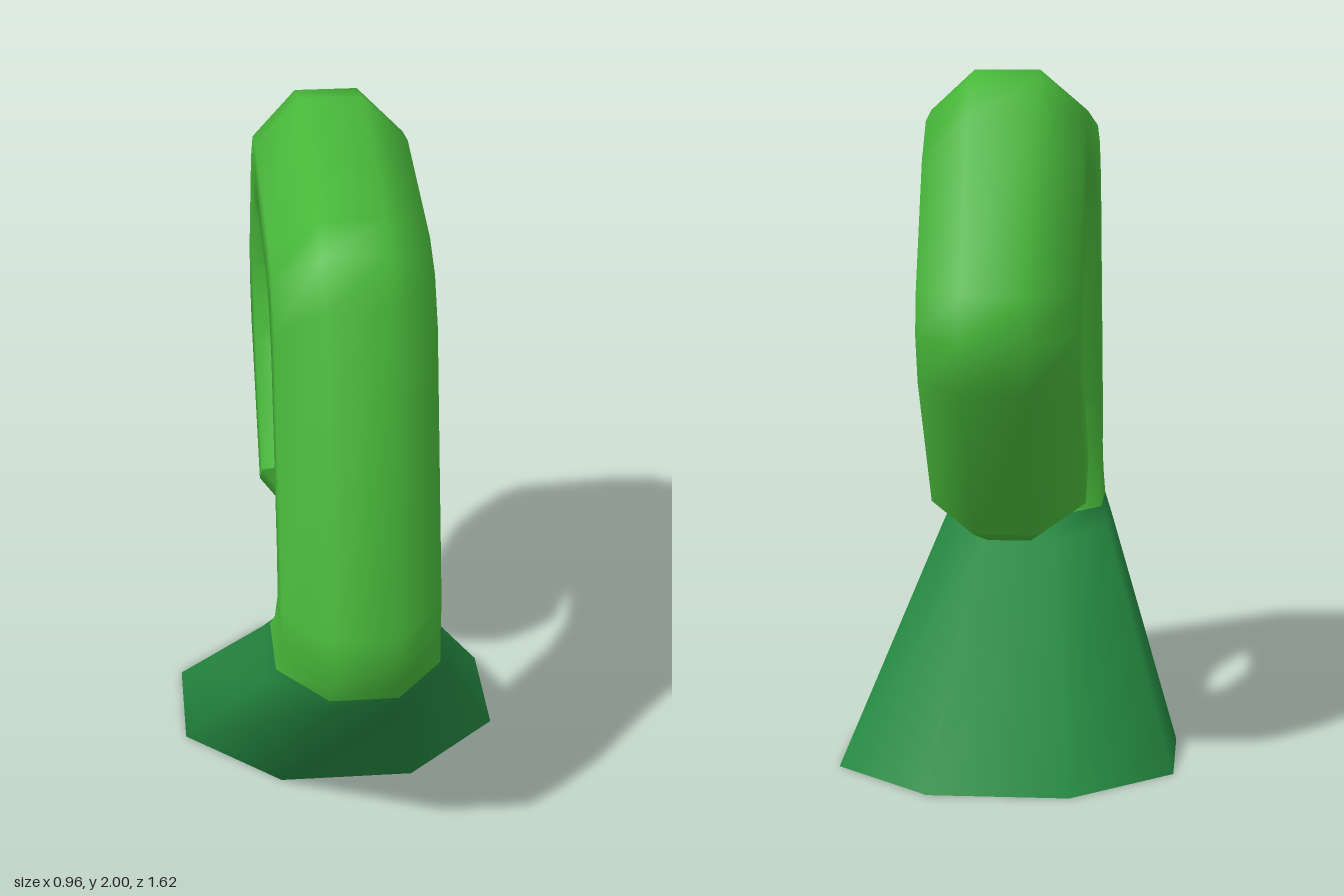
import * as THREE from 'three';

const SIDES = 8;
const K = 1 / Math.cos(Math.PI / SIDES);

// One octagonal ring: outer and inner edge midpoints as [z, y], half width in x
function ringPoints([oz, oy, iz, iy, w = 0.222]) {
  return Array.from({ length: SIDES }, (_, k) => {
    const t = ((k + 0.5) / SIDES) * Math.PI * 2;
    const s = (Math.cos(t) * K) / 2;
    return [
      w * K * Math.sin(t),
      (oy + iy) / 2 + s * (oy - iy),
      (oz + iz) / 2 + s * (oz - iz),
    ];
  });
}

// Smooth skin through rings; rings before 'split' use material group 0
function loft(rings, split = rings.length - 1) {
  const index = [];
  for (let i = 0; i < rings.length - 1; i++) {
    for (let k = 0; k < SIDES; k++) {
      const n = (k + 1) % SIDES;
      const a = i * SIDES + k, b = i * SIDES + n;
      const c = a + SIDES, d = b + SIDES;
      index.push(a, b, d, a, d, c);
    }
  }
  const geo = new THREE.BufferGeometry();
  geo.setAttribute('position', new THREE.Float32BufferAttribute(rings.flatMap(ringPoints).flat(), 3));
  geo.setIndex(index);
  geo.computeVertexNormals();
  const cut = split * SIDES * 6;
  geo.addGroup(0, cut, 0);
  if (cut < index.length) geo.addGroup(cut, index.length - cut, 1);
  return geo;
}

// Flat face closing one ring
function lid(ring, flip) {
  const index = [];
  for (let k = 1; k < SIDES - 1; k++) index.push(0, flip ? k + 1 : k, flip ? k : k + 1);
  const geo = new THREE.BufferGeometry();
  geo.setAttribute('position', new THREE.Float32BufferAttribute(ringPoints(ring).flat(), 3));
  geo.setIndex(index);
  geo.computeVertexNormals();
  return geo;
}

export function createModel() {
  const darkGreen = new THREE.MeshStandardMaterial({ color: 0x248740 });
  darkGreen.name = 'darkGreen';
  const lightGreen = new THREE.MeshStandardMaterial({ color: 0x48b83a });
  lightGreen.name = 'lightGreen';

  const group = new THREE.Group();
  group.name = 'curledStem';
  const add = (name, geo, mat) => {
    const mesh = new THREE.Mesh(geo, mat);
    mesh.name = name;
    group.add(mesh);
  };

  // outer z, outer y, inner z, inner y, half width
  const stem = [
    // flared base
    [0.235, 0, -0.66, 0, 0.482],
    [0.735, 0.58, 0.1, 0.58, 0.257],
    [0.77, 0.635, 0.17, 0.635, 0.235],
    // lower bend
    [0.8, 0.7, 0.28, 0.72, 0.226],
    [0.805, 0.76, 0.37, 0.84],
    [0.81, 0.85, 0.38, 0.98],
    // upper front bend
    [0.58, 1.74, 0.28, 1.4],
    [0.5, 1.86, 0.2, 1.52],
    [0.38, 1.915, 0.08, 1.58],
    // upper back bend
    [-0.32, 2.0, -0.11, 1.605],
    [-0.46, 1.975, -0.24, 1.58],
    [-0.56, 1.87, -0.34, 1.475],
    // inward curl
    [-0.78, 1.41, -0.345, 1.42],
    [-0.805, 1.28, -0.355, 1.33],
    [-0.76, 1.14, -0.29, 1.2],
    [-0.4, 0.69, -0.05, 0.95],
  ];
  // keep each bend's rings evenly wide
  const end = stem[stem.length - 1];
  const tip = [-0.28, 0.65, -0.05, 0.845, 0.15];

  add('baseAndCurl', loft(stem, 2), [darkGreen, lightGreen]);
  add('baseUnderside', lid(stem[0], true), darkGreen);
  add('tipBevel', loft([end, tip]), lightGreen);
  add('tipFace', lid(tip, false), lightGreen);
  return group;
}
